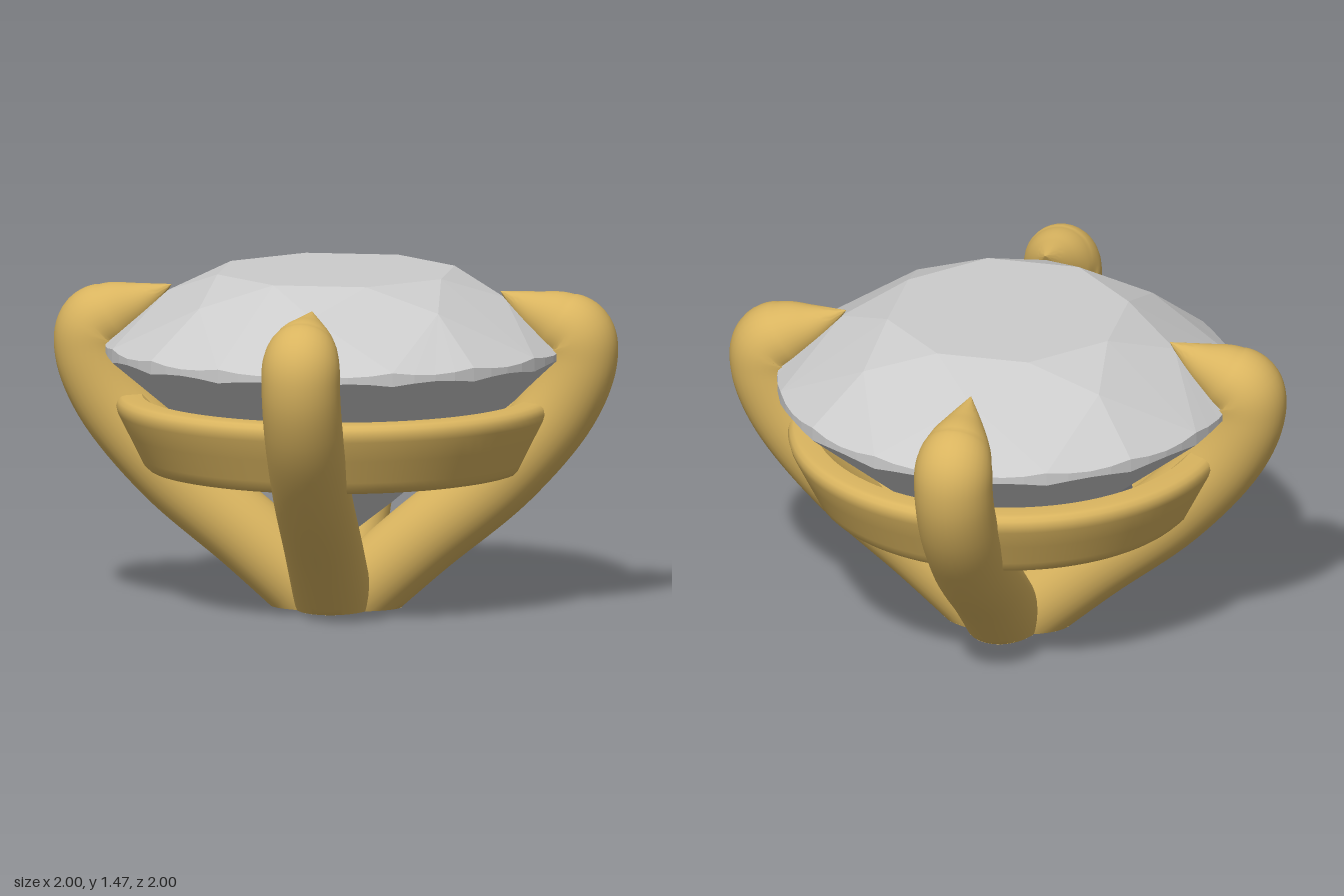
import * as THREE from 'three';
import { toCreasedNormals } from 'three/addons/utils/BufferGeometryUtils.js';

const V = (x, y, z) => new THREE.Vector3(x, y, z);
const polar = (r, deg, y) => V(r * Math.cos(deg * Math.PI / 180), y, r * Math.sin(deg * Math.PI / 180));

// Round brilliant cut: table, stars, kites, half facets, scalloped girdle, pavilion
function gemGeometry() {
  const out = [], centre = V(0, 0.95, 0);
  const tri = (a, b, c) => {
    const n = b.clone().sub(a).cross(c.clone().sub(a));
    const list = n.dot(a.clone().sub(centre)) < 0 ? [a, c, b] : [a, b, c];
    list.forEach(p => out.push(p.x, p.y, p.z));
  };
  const table = k => polar(0.53, 45 * k + 22.5, 1.47);
  const star = k => polar(0.74, 45 * k, 1.365);
  const low = k => polar(0.25, 45 * k, 0.464);
  const culet = V(0, 0.27, 0), tableCentre = V(0, 1.47, 0);
  // girdle edges wave where the flat half facets meet the round rim
  const dip = deg => 0.016 * Math.abs(Math.sin(deg * 8 * Math.PI / 180));
  const rimTop = deg => polar(1, deg, 1.16 - dip(deg));
  const rimLow = deg => polar(1, deg, 1.1 + dip(deg));

  for (let k = 0; k < 8; k++) {
    const mid = 45 * k + 22.5;
    tri(tableCentre, table(k), table(k + 1));
    tri(table(k), table(k - 1), star(k));
    tri(table(k), star(k), rimTop(mid));
    tri(table(k), star(k + 1), rimTop(mid));
    tri(culet, low(k), rimLow(mid));
    tri(culet, low(k + 1), rimLow(mid));
    const step = 22.5 / 4;
    for (let j = -4; j < 4; j++) {
      const a = 45 * k + j * step, b = a + step;
      tri(star(k), rimTop(a), rimTop(b));
      tri(low(k), rimLow(a), rimLow(b));
      tri(rimTop(a), rimTop(b), rimLow(a));
      tri(rimTop(b), rimLow(b), rimLow(a));
    }
  }
  const g = new THREE.BufferGeometry();
  g.setAttribute('position', new THREE.Float32BufferAttribute(out, 3));
  g.computeVertexNormals();
  return g;
}

// Claw: round sections swept in the x-y plane; each point is (distance, height, radius)
function prongGeometry() {
  const path = new THREE.CatmullRomCurve3([
    V(0.03, 0, 0.17), V(0.37, 0.3, 0.17), V(0.73, 0.6, 0.17), V(0.98, 0.9, 0.17),
    V(1.06, 1.1, 0.17), V(1.05, 1.205, 0.168), V(0.97, 1.26, 0.145),
    V(0.86, 1.315, 0.09), V(0.72, 1.393, 0.001)
  ]);
  const rows = 64, sides = 32, pos = [], idx = [];
  const base = path.getTangent(0), slope = base.x / base.y;
  for (let i = 0; i <= rows; i++) {
    const p = path.getPoint(i / rows), t = path.getTangent(i / rows);
    const len = Math.hypot(t.x, t.y);
    for (let j = 0; j <= sides; j++) {
      const a = j / sides * Math.PI * 2, n = p.z * Math.cos(a);
      let x = p.x + n * t.y / len, y = p.y - n * t.x / len;
      // cut the foot flat on the ground
      if (i === 0 || y < 0) { x -= y * slope; y = 0; }
      pos.push(x, y, p.z * Math.sin(a));
      if (i < rows && j < sides) {
        const q = i * (sides + 1) + j, r = q + sides + 1;
        idx.push(q, r, q + 1, q + 1, r, r + 1);
      }
    }
  }
  // flat cap under the foot
  const c = pos.length / 3;
  pos.push(0.03, 0, 0);
  for (let j = 0; j < sides; j++) idx.push(c, j, j + 1);
  const g = new THREE.BufferGeometry();
  g.setAttribute('position', new THREE.Float32BufferAttribute(pos, 3));
  g.setIndex(idx);
  return toCreasedNormals(g, 0.8);
}

// Flared seat ring with rounded outer edges
function seatGeometry() {
  const profile = [
    [0.54, 0.605], [0.79, 0.605], [0.815, 0.61], [0.835, 0.63], [0.85, 0.66], [0.9, 0.76],
    [0.945, 0.85], [0.953, 0.88], [0.947, 0.905], [0.93, 0.92], [0.91, 0.925], [0.84, 0.925], [0.54, 0.605]
  ].map(([r, y]) => new THREE.Vector2(r, y));
  return toCreasedNormals(new THREE.LatheGeometry(profile, 96), 0.65);
}

export function createModel() {
  const model = new THREE.Group();
  const stone = new THREE.MeshStandardMaterial({ color: 0xcccccc, flatShading: true });
  const gold = new THREE.MeshStandardMaterial({ color: 0xd9b45f, side: THREE.DoubleSide });
  const add = (name, geometry, material) => {
    const mesh = new THREE.Mesh(geometry, material);
    mesh.name = name;
    model.add(mesh);
    return mesh;
  };

  add('gem', gemGeometry(), stone);
  add('seatRing', seatGeometry(), gold);

  // four claws on the diagonals
  const prong = prongGeometry();
  ['frontLeft', 'backLeft', 'backRight', 'frontRight'].forEach((corner, k) => {
    add(corner + 'Prong', prong, gold).rotation.y = -Math.PI / 4 + k * Math.PI / 2;
  });
  return model;
}
